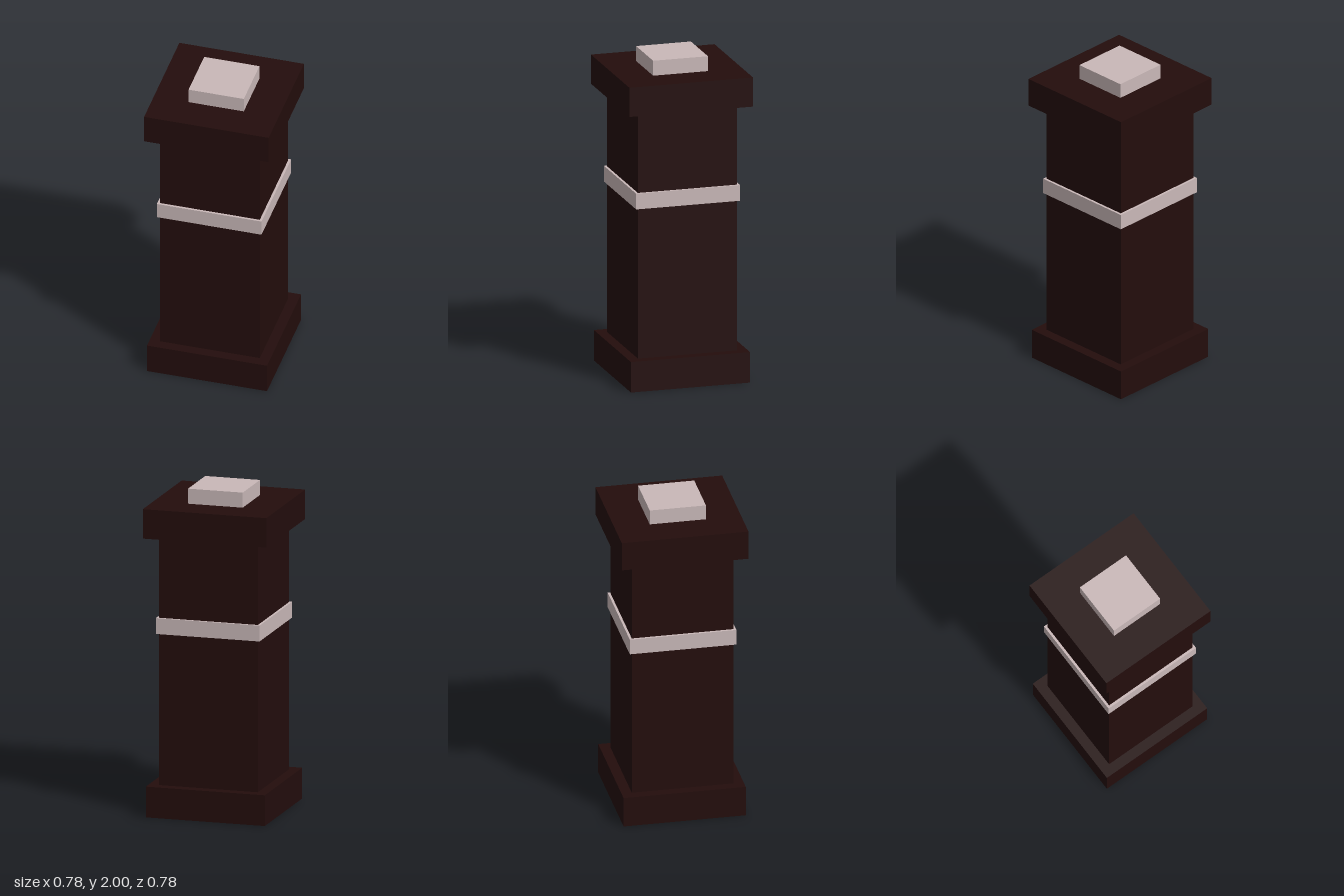
import * as THREE from 'three';

export function createModel() {
  const group = new THREE.Group();
  const darkWood = new THREE.MeshStandardMaterial({ color: 0x230d0c });
  darkWood.name = 'darkWood';
  const paleStone = new THREE.MeshStandardMaterial({ color: 0xc9b8b8 });
  paleStone.name = 'paleStone';

  // Square block of given width between two heights
  const block = (name, width, bottom, top, material) => {
    const mesh = new THREE.Mesh(new THREE.BoxGeometry(width, top - bottom, width), material);
    mesh.name = name;
    mesh.position.y = (bottom + top) / 2;
    group.add(mesh);
  };

  block('base', 0.75, 0, 0.19, darkWood);
  block('shaft', 0.624, 0.19, 1.725, darkWood);
  block('band', 0.654, 1.126, 1.224, paleStone);
  block('cap', 0.778, 1.725, 1.907, darkWood);
  block('topPlate', 0.345, 1.907, 2, paleStone);

  return group;
}
